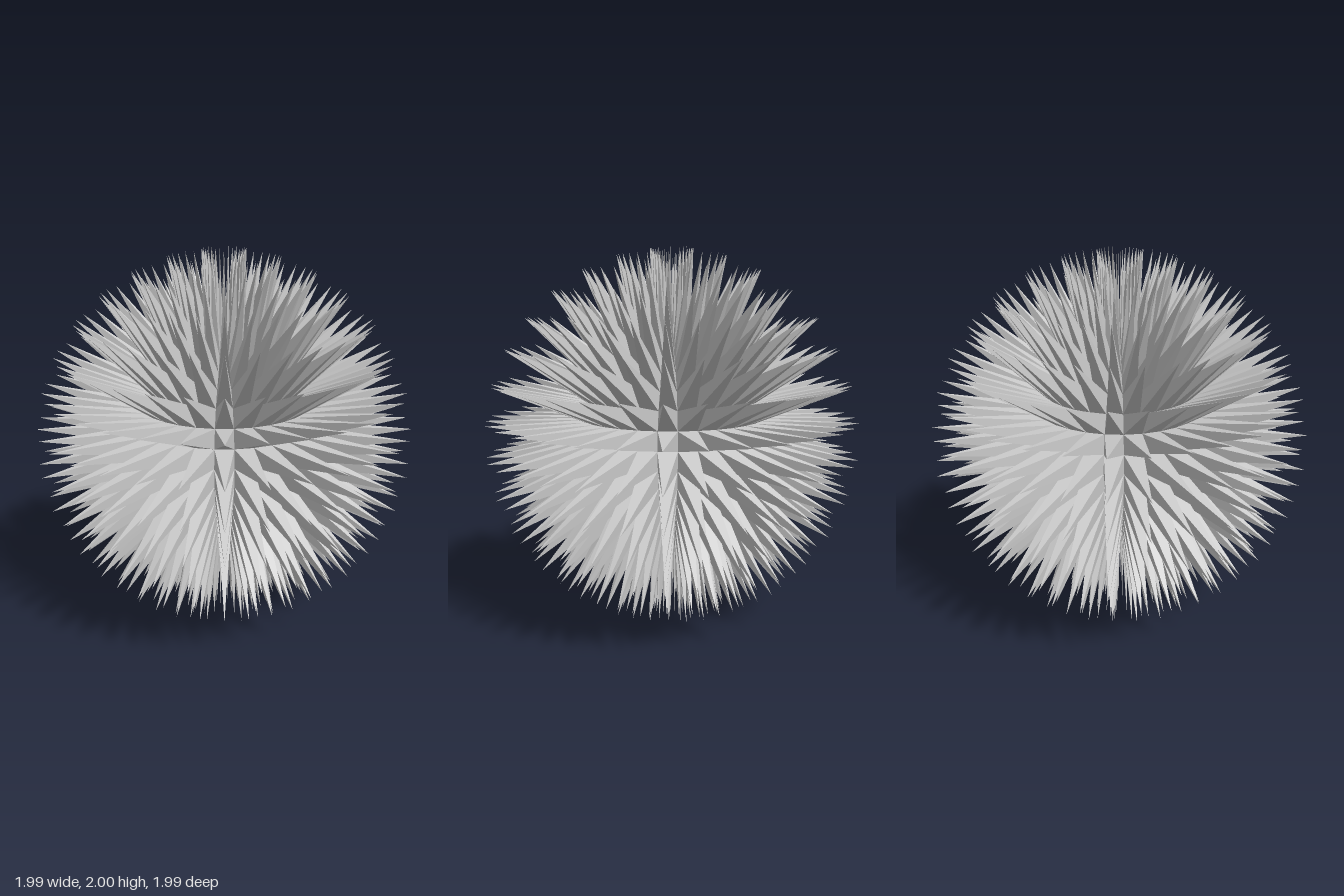
import * as THREE from 'three';

const SEGMENTS = 32, RINGS = 16;
const CORE_RADIUS = 0.5, SPIKE_LENGTH = 0.5;

// Point of the core sphere's latitude / longitude grid
function gridPoint(ring, segment) {
  const polar = (ring / RINGS) * Math.PI;
  const lon = ((segment % SEGMENTS) / SEGMENTS) * Math.PI * 2;
  return new THREE.Vector3().setFromSphericalCoords(CORE_RADIUS, polar, lon);
}

// One pyramid over a face: the tip rises from the face centre along its normal
function addSpike(positions, corners, normal) {
  const tip = new THREE.Vector3();
  corners.forEach((p) => tip.add(p));
  tip.divideScalar(corners.length).addScaledVector(normal, SPIKE_LENGTH);
  corners.forEach((p, k) => {
    const q = corners[(k + 1) % corners.length];
    positions.push(...p.toArray(), ...q.toArray(), ...tip.toArray());
  });
}

// A ring of spikes: four-sided, or three-sided next to the poles
function spikeRing(ring) {
  const positions = [];
  for (let s = 0; s < SEGMENTS; s++) {
    const a = gridPoint(ring, s), b = gridPoint(ring + 1, s);
    const c = gridPoint(ring + 1, s + 1), d = gridPoint(ring, s + 1);
    const normal = c.clone().sub(a).cross(d.clone().sub(b)).normalize();
    const corners = ring === 0 ? [a, b, c] : ring === RINGS - 1 ? [a, b, d] : [a, b, c, d];
    addSpike(positions, corners, normal);
  }
  const geometry = new THREE.BufferGeometry();
  geometry.setAttribute('position', new THREE.Float32BufferAttribute(positions, 3));
  geometry.computeVertexNormals();
  return geometry;
}

export function createModel() {
  const model = new THREE.Group();
  model.name = 'spikyBall';
  const material = new THREE.MeshStandardMaterial({ color: 0xcccccc, flatShading: true });

  const ball = new THREE.Group();
  ball.name = 'spikes';
  for (let r = 0; r < RINGS; r++) {
    const mesh = new THREE.Mesh(spikeRing(r), material);
    mesh.name = `spikeRing${r + 1}`;
    ball.add(mesh);
  }

  // Fit to a height of 2, standing on the ground
  const height = new THREE.Box3().setFromObject(ball).getSize(new THREE.Vector3()).y;
  ball.scale.setScalar(2 / height);
  ball.position.y = 1;
  model.add(ball);
  return model;
}
